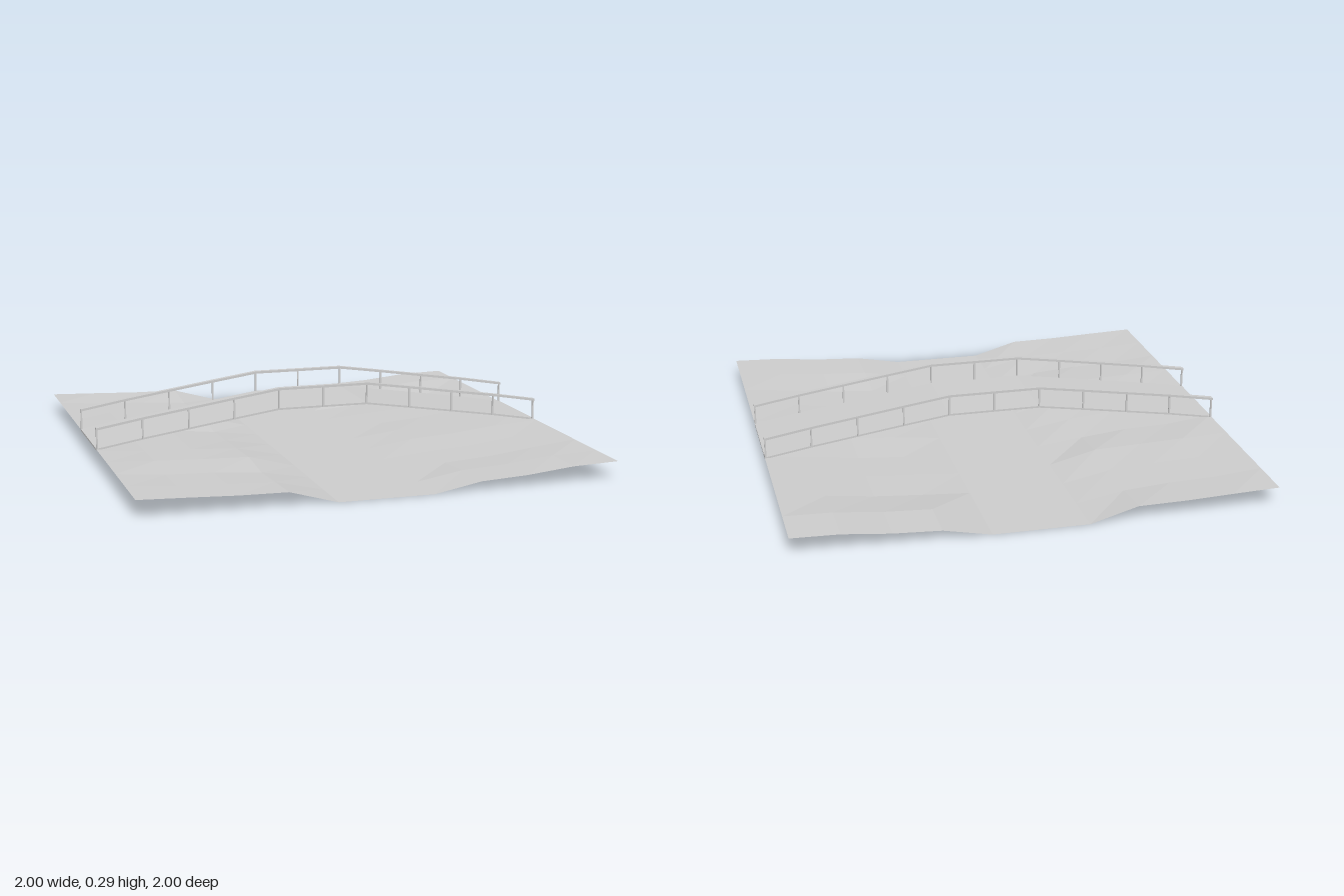
import * as THREE from 'three';

const GREY = () => new THREE.MeshStandardMaterial({ color: 0xcccccc, flatShading: true, side: THREE.DoubleSide });

// Top of the bridge deck at each 0.2 step from the middle to either end
const DECK = [0.2, 0.2, 0.171, 0.141, 0.111, 0.077];
const RAIL_LIFT = 0.091;
const RAILS = [-0.215, 0.17];

// A strip following the bridge curve, from zBack to zFront
function archStrip(name, lift, thickness, zBack, zFront) {
  const top = [];
  for (let i = -5; i <= 5; i++) top.push(new THREE.Vector2(i * 0.2, DECK[Math.abs(i)] + lift));
  const bottom = top.map(p => new THREE.Vector2(p.x, p.y - thickness)).reverse();
  const geo = new THREE.ExtrudeGeometry(new THREE.Shape([...bottom, ...top]), { depth: zFront - zBack, bevelEnabled: false });
  geo.translate(0, 0, zBack);
  const mesh = new THREE.Mesh(geo, GREY());
  mesh.name = name;
  return mesh;
}

// Valley floor: a 10 x 10 grid, flat in the middle, with uneven banks
function terrain() {
  const low = [0.075, 0.05, 0.045, 0.022, 0, 0, 0, 0.01, 0.025, 0.05, 0.075];
  const high = [0.075, 0.068, 0.06, 0.057, 0, 0, 0, 0.04, 0.05, 0.07, 0.075];
  // how far each row, back to front, lies between low and high
  const left = [1, 0.4, 0.5, 0.8, 0.1, 0.3, 0.6, 0.9, 0.4, 0.7, 1];
  const right = [1, 1, 0.1, 0.2, 0.1, 0.4, 0.6, 0.3, 0.2, 0.8, 0.9];
  const geo = new THREE.PlaneGeometry(2, 2, 10, 10).rotateX(-Math.PI / 2);
  const pos = geo.attributes.position;
  for (let i = 0; i < pos.count; i++) {
    const col = i % 11, row = Math.floor(i / 11);
    const t = (col < 5 ? left : right)[row];
    pos.setY(i, THREE.MathUtils.lerp(low[col], high[col], t));
  }
  geo.computeVertexNormals();
  const mesh = new THREE.Mesh(geo, GREY());
  mesh.name = 'terrain';
  return mesh;
}

export function createModel() {
  const model = new THREE.Group();
  model.name = 'footbridge over valley';
  model.add(terrain(), archStrip('deck', 0, 0.008, RAILS[0], RAILS[1]));

  // Handrails on thin posts along both sides
  RAILS.forEach((z, side) => {
    const railing = new THREE.Group();
    railing.name = side ? 'frontRailing' : 'backRailing';
    railing.add(archStrip('handrail', RAIL_LIFT, 0.01, z - 0.011, z + 0.011));
    for (let i = -5; i <= 5; i++) {
      const post = new THREE.Mesh(new THREE.BoxGeometry(0.007, RAIL_LIFT, 0.007), GREY());
      post.name = 'post';
      post.position.set(THREE.MathUtils.clamp(i * 0.2, -0.9965, 0.9965), DECK[Math.abs(i)] + RAIL_LIFT / 2 - 0.004, z);
      railing.add(post);
    }
    model.add(railing);
  });
  return model;
}
